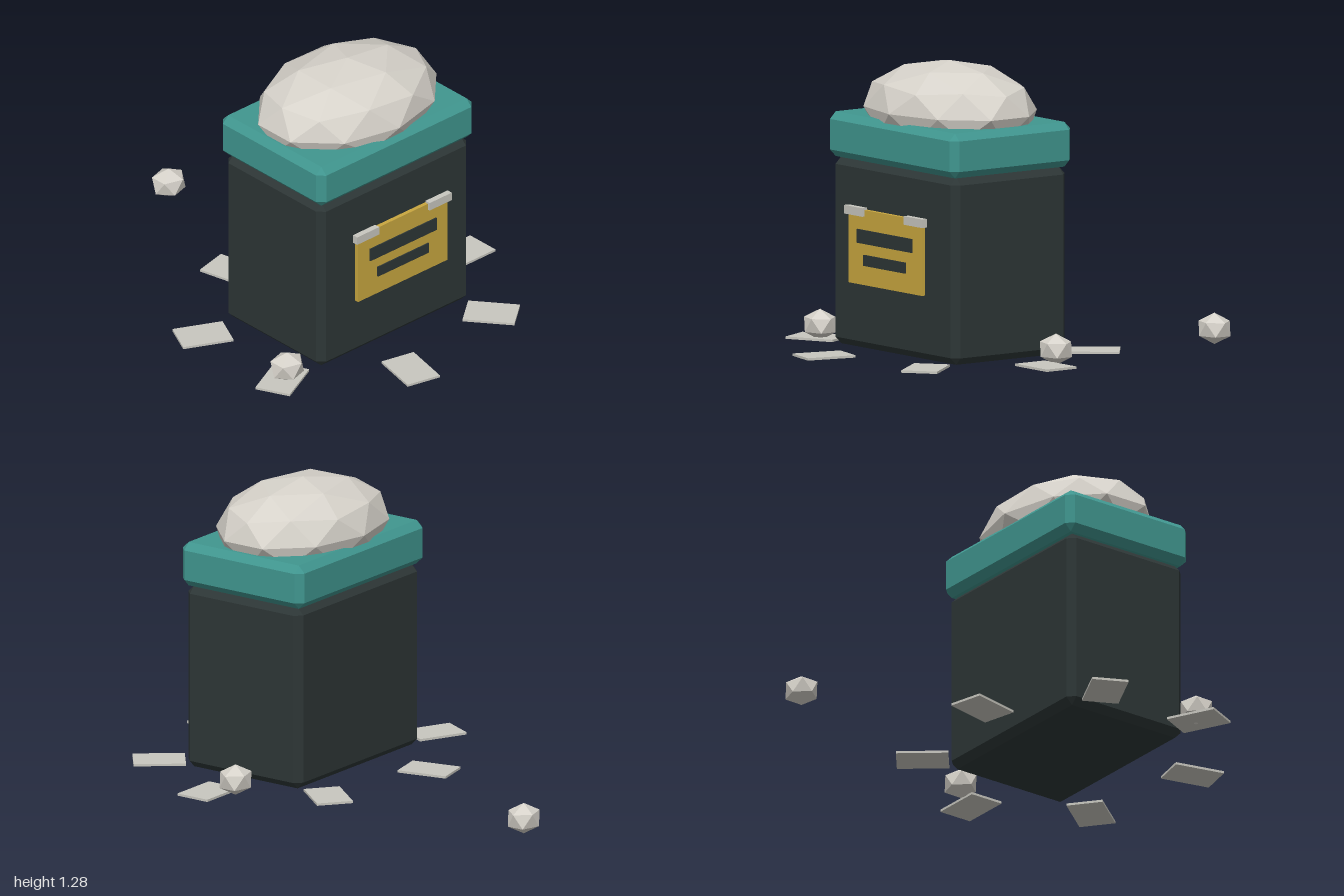
import * as THREE from 'three';
import { ConvexGeometry } from 'three/addons/geometries/ConvexGeometry.js';

const mat = (name, color) => {
  const m = new THREE.MeshStandardMaterial({ color });
  m.name = name;
  return m;
};

// Box with flat chamfered edges
function chamferBox(w, h, d, b) {
  const pts = [];
  for (const x of [-w / 2, w / 2]) for (const y of [-h / 2, h / 2]) for (const z of [-d / 2, d / 2]) {
    const ix = x - Math.sign(x) * b, iy = y - Math.sign(y) * b, iz = z - Math.sign(z) * b;
    pts.push(new THREE.Vector3(x, iy, iz), new THREE.Vector3(ix, y, iz), new THREE.Vector3(ix, iy, z));
  }
  return new ConvexGeometry(pts);
}

// Faceted boulder: icosahedron with a vertex straight up and one upper-ring vertex towards +x
function boulder(rx, ry, rz, detail) {
  const g = new THREE.IcosahedronGeometry(1, detail);
  g.rotateX(-Math.atan2((1 + Math.sqrt(5)) / 2, 1));
  g.rotateY(Math.PI / 2);
  g.scale(rx, ry, rz);
  g.computeVertexNormals();
  return g;
}

export function createModel() {
  const group = new THREE.Group();
  const charcoal = mat('charcoal', 0x2d3636);
  const teal = mat('teal', 0x40968f);
  const yellow = mat('mustard', 0xc9a73f);
  const grey = mat('paleGrey', 0xc8c7bf);
  const stone = mat('stone', 0xd6d2ca);
  const cx = -0.02, cz = 0.32;

  const add = (name, geo, material, x, y, z) => {
    const m = new THREE.Mesh(geo, material);
    m.name = name;
    m.position.set(x, y, z);
    group.add(m);
    return m;
  };

  // Container, lid and the mound on top
  add('body', chamferBox(0.85, 0.785, 0.595, 0.03), charcoal, cx, 0.4675, cz);
  add('lid', chamferBox(0.88, 0.188, 0.63, 0.03), teal, cx, 0.954, cz);
  add('mound', boulder(0.434, 0.2, 0.32, 1), stone, cx, 1.085, cz);

  // Front label with two bars and two clips
  add('label', new THREE.BoxGeometry(0.505, 0.315, 0.018), yellow, cx, 0.511, 0.65);
  add('upperBar', new THREE.BoxGeometry(0.375, 0.058, 0.009), charcoal, cx, 0.556, 0.66);
  add('lowerBar', new THREE.BoxGeometry(0.288, 0.046, 0.009), charcoal, cx, 0.458, 0.66);
  for (const s of [-1, 1])
    add('labelClip', new THREE.BoxGeometry(0.125, 0.036, 0.026), grey, cx + s * 0.205, 0.659, 0.657);

  // Flat tiles in an oval ring around the base
  const tile = new THREE.BoxGeometry(0.218, 0.01, 0.154);
  for (let i = 0; i < 7; i++) {
    const a = (i / 7) * Math.PI * 2;
    add('groundTile', tile, grey, cx + Math.cos(a) * 0.657, 0.076, cz + Math.sin(a) * 0.56).rotation.y = -a;
  }

  // Loose pebbles
  const pebble = boulder(0.082, 0.066, 0.073, 0);
  for (const [x, y, z] of [[-0.588, 0.132, 0.567], [0.578, 0.132, 0.222], [0.135, 0.067, -0.94]])
    add('pebble', pebble, stone, x, y, z);

  return group;
}
